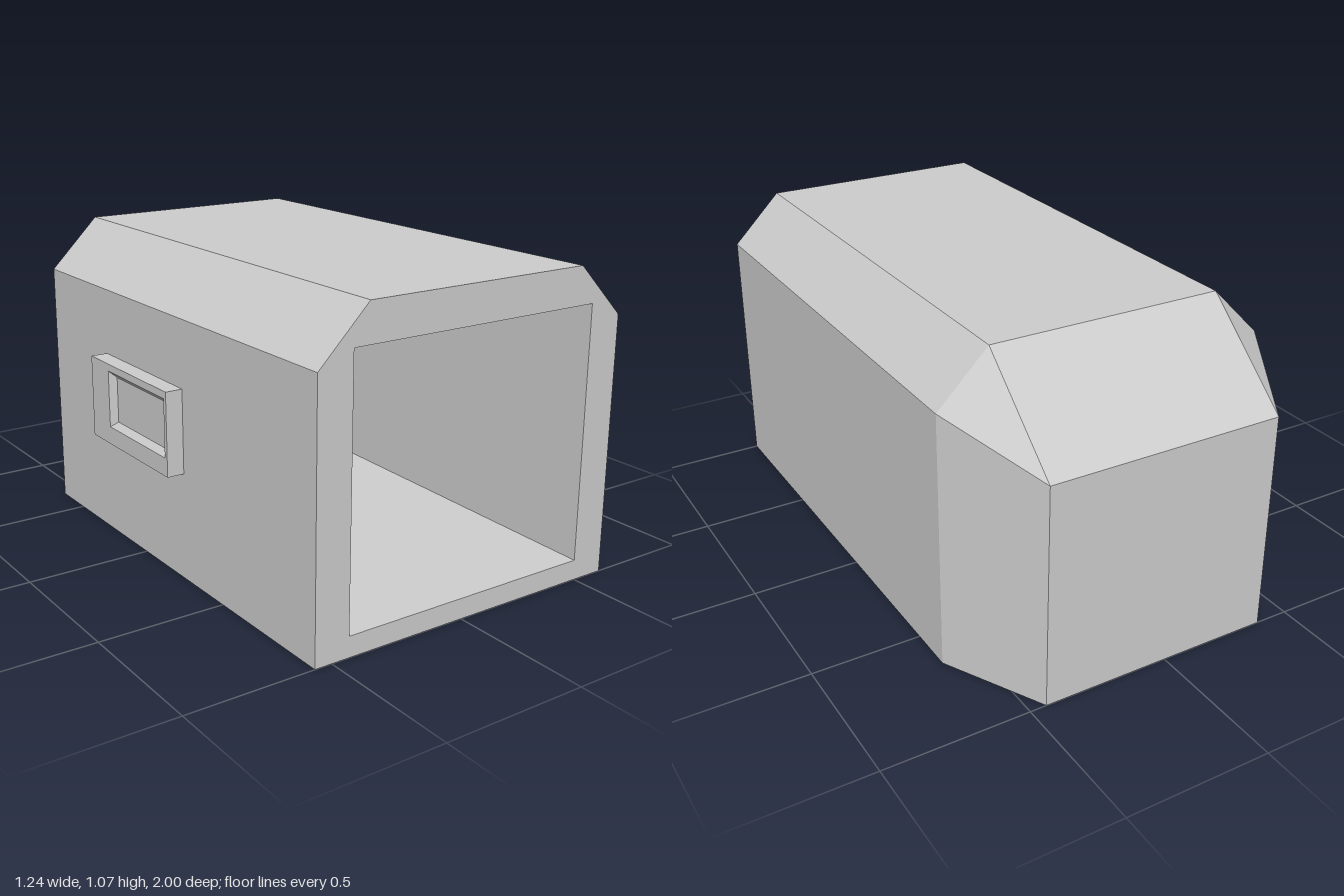
import * as THREE from 'three';

const grey = new THREE.MeshStandardMaterial({ color: 0xcccccc });
grey.name = 'plain grey';

// Flat-sided wall between two matching rings of [x, y] points; the first ring is nearer +z.
// Counter-clockwise rings face outward, clockwise rings face inward.
function wall(name, near, zNear, far, zFar) {
  const pos = [];
  near.forEach((p, i) => {
    const j = (i + 1) % near.length;
    const a = [...p, zNear], b = [...near[j], zNear];
    const c = [...far[j], zFar], d = [...far[i], zFar];
    pos.push(...a, ...d, ...c);
    pos.push(...a, ...c, ...b);
  });
  const geo = new THREE.BufferGeometry();
  geo.setAttribute('position', new THREE.Float32BufferAttribute(pos, 3));
  geo.computeVertexNormals();
  return named(name, geo);
}

function named(name, geo) {
  const mesh = new THREE.Mesh(geo, grey);
  mesh.name = name;
  return mesh;
}

// Flat face towards +z, optionally with a hole.
function face(name, ring, z, hole) {
  const toPoints = r => r.map(p => new THREE.Vector2(...p));
  const shape = new THREE.Shape(toPoints(ring));
  if (hole) shape.holes.push(new THREE.Path(toPoints(hole)));
  return named(name, new THREE.ShapeGeometry(shape).translate(0, 0, z));
}

const rect = (x0, x1, y0, y1) => [[x1, y0], [x1, y1], [x0, y1], [x0, y0]];
const reversed = ring => [...ring].reverse();

export function createModel() {
  const model = new THREE.Group();
  model.name = 'shelter';

  // Hollow body with chamfered shoulders and a tapered back
  const body = new THREE.Group();
  body.name = 'body';
  body.position.x = 0.03;
  const section = [[0.59, 0], [0.59, 0.89], [0.413, 1.067], [-0.413, 1.067], [-0.59, 0.89], [-0.59, 0]];
  const backSection = [[0.413, 0], [0.413, 0.77], [0.413, 0.77], [-0.413, 0.77], [-0.413, 0.77], [-0.413, 0]];
  const mouth = rect(-0.467, 0.467, 0.07, 0.94);
  const tunnelEnd = rect(-0.413, 0.413, 0.12, 0.89);
  const backFace = face('backFace', rect(-0.413, 0.413, 0, 0.77), 1);
  backFace.rotation.y = Math.PI;
  body.add(
    wall('shell', section, 1, section, -0.66),
    wall('taperedBack', section, -0.66, backSection, -1),
    backFace,
    face('frontRim', section, 1, mouth),
    wall('tunnelWalls', reversed(mouth), 1, reversed(tunnelEnd), -0.145),
    face('tunnelEnd', tunnelEnd, -0.145)
  );

  // Side box with a shallow recessed panel, built facing +z and turned to -x
  const sideBox = new THREE.Group();
  sideBox.name = 'sideBox';
  sideBox.rotation.y = -Math.PI / 2;
  const boxRing = rect(-0.25, 0.27, 0.372, 0.66);
  const recess = rect(-0.125, 0.255, 0.435, 0.635);
  const panel = rect(-0.1, 0.23, 0.455, 0.615);
  sideBox.add(
    wall('boxSides', boxRing, 0.62, boxRing, 0.56),
    face('boxFrame', boxRing, 0.62, recess),
    wall('recessEdges', reversed(recess), 0.62, reversed(panel), 0.6),
    face('recessedPanel', panel, 0.6)
  );

  model.add(body, sideBox);
  return model;
}
